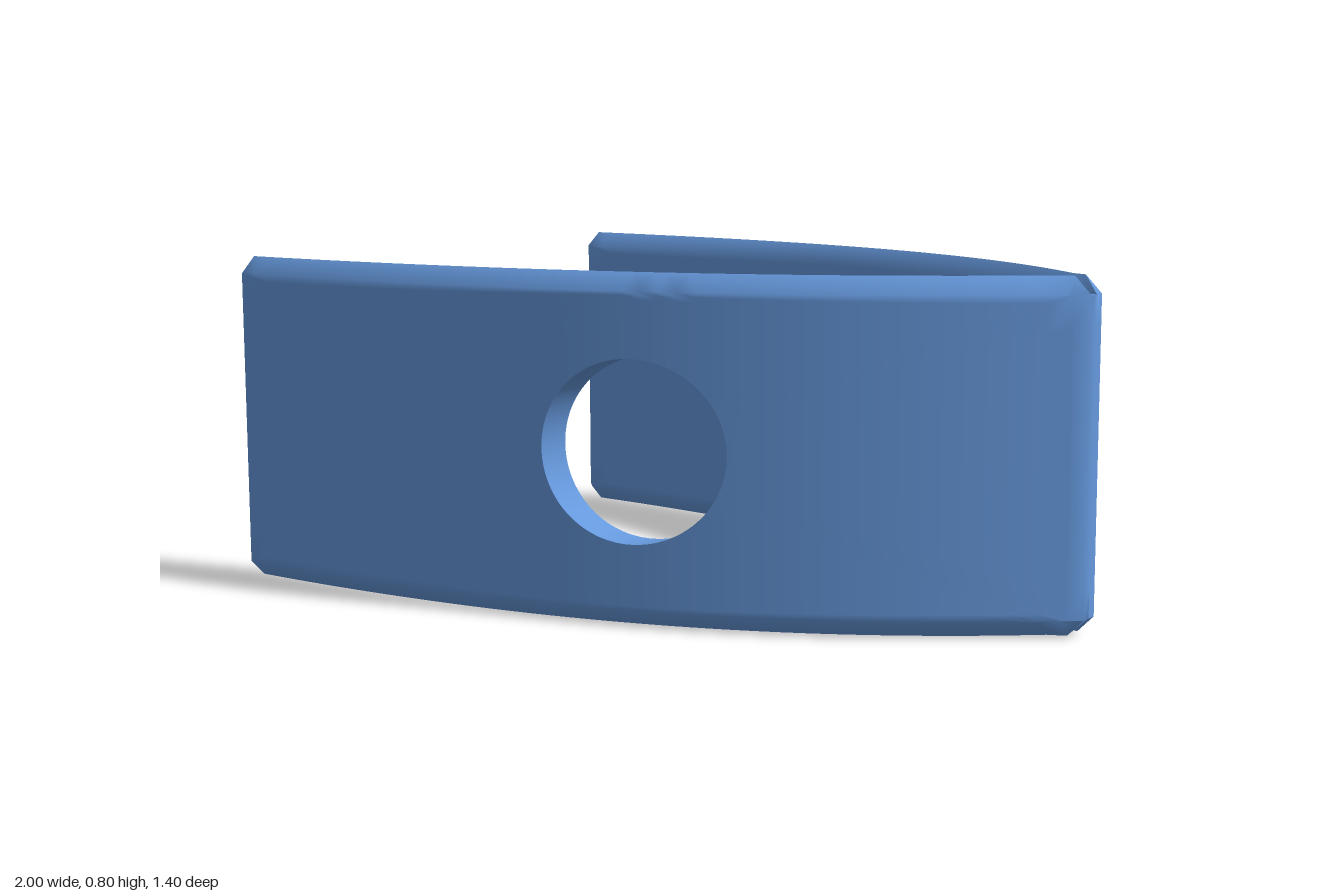
import * as THREE from 'three';
import { toCreasedNormals } from 'three/addons/utils/BufferGeometryUtils.js';

const HALF = 0.04;                              // half thickness, also the bevel size
const HEIGHT = 0.8;
const HOLE = { x: 0.135, y: 0.4, r: 0.21 };
const RINGS = 16;                               // steps between rim and hole

// Centre line of the bent plate and its slope, seen from above
const centre = (x) => { const u = x + 1; return 0.66 - 0.101 * u ** 2 - 0.018 * u ** 4; };
const slope = (x) => { const u = x + 1; return 0.202 * u + 0.072 * u ** 3; };

// Surface point: side is 1 outside, 0 on the rim, -1 inside
function bend(x, y, side) {
  const z = centre(x) + side * HALF * Math.hypot(1, slope(x));
  const atTip = side === 0 && x > 0.9 ? 0.025 : 0;
  return new THREE.Vector3(x, y, Math.max(z, atTip));
}

// Rim outline, counterclockwise, a rectangle with clipped corners
function rimOutline() {
  const b = HALF, h = HEIGHT;
  const corners = [[1, b], [1, h - b], [1 - b, h], [b - 1, h], [-1, h - b], [-1, b], [b - 1, 0], [1 - b, 0]];
  const steps = [10, 1, 48, 1, 10, 1, 48, 1];
  const points = [];
  corners.forEach(([x, y], i) => {
    const [nx, ny] = corners[(i + 1) % corners.length];
    for (let k = 0; k < steps[i]; k++) {
      const t = k / steps[i];
      points.push([x + (nx - x) * t, y + (ny - y) * t]);
    }
  });
  return points;
}

// One loop through the plate: hole, outer face, rim, inner face, hole
function section([rx, ry]) {
  const face = (side) => {
    const fx = THREE.MathUtils.clamp(rx, HALF - 1, side > 0 ? 0.97 : 1);
    const fy = THREE.MathUtils.clamp(ry, HALF, HEIGHT - HALF);
    const a = Math.atan2(fy - HOLE.y, fx - HOLE.x);
    const hx = HOLE.x + HOLE.r * Math.cos(a), hy = HOLE.y + HOLE.r * Math.sin(a);
    return Array.from({ length: RINGS + 1 }, (_, k) => {
      const t = k / RINGS;
      return bend(hx + (fx - hx) * t, hy + (fy - hy) * t, side);
    });
  };
  return [...face(1), bend(rx, ry, 0), ...face(-1).reverse()];
}

function plateGeometry() {
  const loops = rimOutline().map(section);
  const positions = [];
  const tri = (...p) => {
    if (new THREE.Triangle(...p).getArea() < 1e-9) return;
    p.forEach((v) => positions.push(v.x, v.y, v.z));
  };
  loops.forEach((loop, i) => {
    const next = loops[(i + 1) % loops.length];
    loop.forEach((p, k) => {
      const m = (k + 1) % loop.length;
      tri(p, loop[m], next[m]);
      tri(p, next[m], next[k]);
    });
  });
  const geometry = new THREE.BufferGeometry();
  geometry.setAttribute('position', new THREE.Float32BufferAttribute(positions, 3));
  return toCreasedNormals(geometry, THREE.MathUtils.degToRad(55));
}

export function createModel() {
  const group = new THREE.Group();
  group.name = 'pointedBand';
  const material = new THREE.MeshStandardMaterial({ color: 0x6699dd });
  const geometry = plateGeometry();

  const front = new THREE.Mesh(geometry, material);
  front.name = 'frontPlate';

  // The plate is the same upside down, so a half turn makes the other side
  const back = new THREE.Mesh(geometry, material);
  back.name = 'backPlate';
  back.rotation.x = Math.PI;
  back.position.y = HEIGHT;

  group.add(front, back);
  return group;
}
